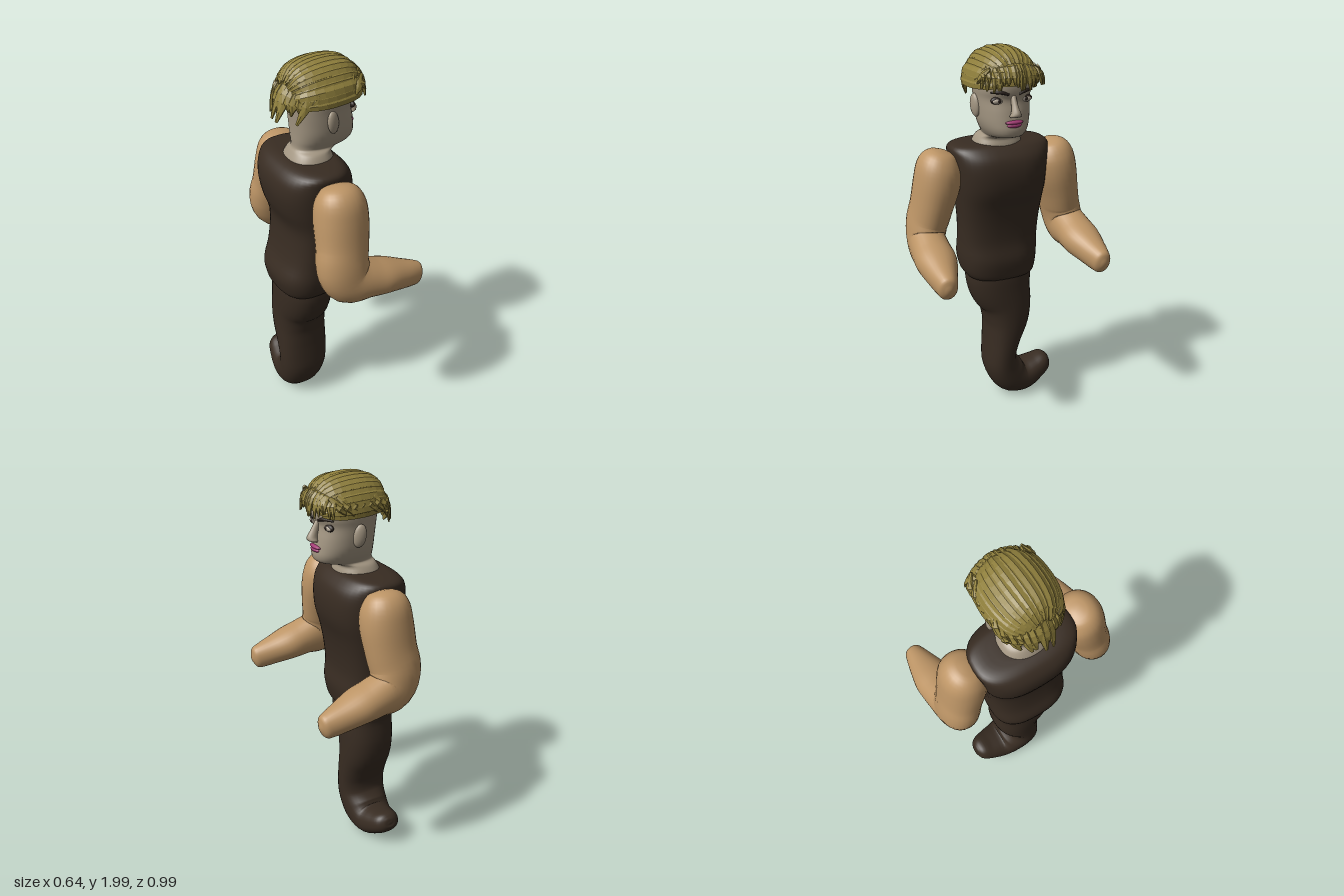
import * as THREE from 'three';

const V = (x, y, z) => new THREE.Vector3(x, y, z);
const mat = (color, flat = false) => new THREE.MeshStandardMaterial({ color, flatShading: flat, roughness: 0.9 });
const CLOTH = mat(0x382c22), TAN = mat(0xbd9566), FACE = mat(0xa39682), HAIR = mat(0x8f7f3c, true);
const LIPS = mat(0xa03a72), DARK = mat(0x2a211c), EYE = mat(0xb5aa9a);

// Smooth skin over cross-sections [x, y, z, ru, rv]; rv lies along `side`, ru across it.
// `axis` fixes the direction of travel, `power` squares off the ellipse.
function loft(rows, { side, axis = null, power = 2, n = 28, sub = 4 }) {
  const path = new THREE.CatmullRomCurve3(rows.map(r => V(r[0], r[1], r[2])), false, 'catmullrom', 0.5);
  const size = new THREE.CatmullRomCurve3(rows.map(r => V(r[3], r[4], 0)), false, 'catmullrom', 0.5);
  const steps = (rows.length - 1) * sub, pos = [], idx = [];
  const bend = c => Math.sign(c) * Math.pow(Math.abs(c), 2 / power);
  for (let s = 0; s <= steps; s++) {
    const c = path.getPoint(s / steps), r = size.getPoint(s / steps);
    const t = axis || path.getTangent(s / steps);
    const v = side.clone().addScaledVector(t, -side.dot(t)).normalize();
    const u = v.clone().cross(t);
    for (let i = 0; i < n; i++) {
      const a = i / n * Math.PI * 2;
      const p = c.clone().addScaledVector(u, bend(Math.cos(a)) * r.x).addScaledVector(v, bend(Math.sin(a)) * r.y);
      pos.push(p.x, p.y, p.z);
    }
  }
  for (let s = 0; s < steps; s++) for (let i = 0; i < n; i++) {
    const a = s * n + i, b = s * n + (i + 1) % n;
    idx.push(a, b, a + n, b, b + n, a + n);
  }
  // end caps
  for (const [row, first] of [[rows[0], true], [rows[rows.length - 1], false]]) {
    const k = pos.length / 3, o = first ? 0 : steps * n;
    pos.push(row[0], row[1], row[2]);
    for (let i = 0; i < n; i++) {
      const a = o + i, b = o + (i + 1) % n;
      idx.push(k, first ? b : a, first ? a : b);
    }
  }
  const g = new THREE.BufferGeometry();
  g.setAttribute('position', new THREE.Float32BufferAttribute(pos, 3));
  g.setIndex(idx);
  g.computeVertexNormals();
  return g;
}

function add(parent, name, geometry, material) {
  const m = new THREE.Mesh(geometry, material);
  m.name = name;
  parent.add(m);
  return m;
}

function ball(parent, name, material, p, s) {
  const m = add(parent, name, new THREE.SphereGeometry(1, 20, 14), material);
  m.position.set(...p);
  m.scale.set(...s);
  return m;
}

const X = V(1, 0, 0), Y = V(0, 1, 0), Z = V(0, 0, 1);

function buildHead() {
  const head = new THREE.Group();
  head.name = 'head';
  // neck, jaw and skull: y, centre x, half depth, half width
  const skull = [
    [1.49, -0.115, 0.12, 0.135], [1.53, -0.112, 0.108, 0.122], [1.56, -0.105, 0.098, 0.105],
    [1.575, -0.075, 0.118, 0.085], [1.59, -0.045, 0.145, 0.092], [1.62, -0.038, 0.153, 0.108],
    [1.66, -0.04, 0.152, 0.12], [1.71, -0.045, 0.15, 0.126], [1.765, -0.052, 0.148, 0.13],
    [1.81, -0.047, 0.156, 0.135], [1.87, -0.047, 0.15, 0.133], [1.93, -0.05, 0.11, 0.105], [1.96, -0.05, 0.05, 0.05],
  ].map(([y, x, rx, rz]) => [x, y, 0, rx, rz]);
  add(head, 'skullAndNeck', loft(skull, { side: Z, axis: Y, power: 2.3, n: 36 }), FACE);
  // nose
  add(head, 'nose', loft([[0.092, 1.79, 0, 0.012, 0.012], [0.108, 1.75, 0, 0.02, 0.015],
    [0.124, 1.715, 0, 0.026, 0.022], [0.122, 1.697, 0, 0.024, 0.03], [0.11, 1.688, 0, 0.01, 0.02]],
  { side: Z, axis: Y.clone().negate(), n: 14 }), FACE);
  // lips
  for (const [name, y, h] of [['upperLip', 1.664, 0.011], ['lowerLip', 1.65, 0.012]])
    ball(head, name, LIPS, [0.106, y, 0], [0.018, h, name === 'upperLip' ? 0.046 : 0.038]);
  for (const s of [-1, 1]) {
    // eye, iris, lid line and brow
    ball(head, 'eyeRim', DARK, [0.073, 1.767, s * 0.07], [0.015, 0.019, 0.036]);
    ball(head, 'eye', EYE, [0.078, 1.765, s * 0.07], [0.013, 0.014, 0.03]);
    ball(head, 'iris', DARK, [0.087, 1.766, s * 0.068], [0.006, 0.01, 0.01]);
    add(head, 'brow', loft([[0.104, 1.796, s * 0.026, 0.006, 0.006], [0.096, 1.808, s * 0.065, 0.009, 0.009],
      [0.07, 1.804, s * 0.105, 0.004, 0.004]], { side: Y, n: 8 }), DARK);
    // ear
    const ear = ball(head, 'ear', FACE, [-0.055, 1.725, s * 0.133], [0.032, 0.056, 0.018]);
    ear.rotation.set(0, s * 0.3, 0.15);
  }
  return head;
}

function buildHair() {
  const hair = new THREE.Group();
  hair.name = 'hair';
  let seed = 7;
  const rnd = () => (seed = (seed * 16807) % 2147483647) / 2147483647;
  // point on the hair dome: t runs front to back, phi tilts to the side
  const dome = (t, phi, k) => {
    const s = Math.pow(Math.max(Math.sin(t), 0), 0.65), c = Math.cos(t);
    const cx = Math.sign(c) * Math.pow(Math.abs(c), 0.85);
    return [-0.055 + 0.185 * cx * k, 1.835 + 0.15 * s * Math.cos(phi) * k, 0.005 + 0.158 * s * Math.sin(phi) * k];
  };
  const lock = (name, pts, w, h) => {
    const prof = pts.map((p, i) => {
      const f = Math.pow(Math.sin(Math.PI * (0.08 + 0.88 * i / (pts.length - 1))), 0.6);
      return [...p, h * f, w * f];
    });
    const mid = pts[Math.floor(pts.length / 2)];
    const side = V(0, -mid[2], mid[1] - 1.8).normalize();
    add(hair, name, loft(prof, { side, n: 6, sub: 2 }), HAIR);
  };
  // scalp cover under the locks
  const cap = add(hair, 'hairCap', new THREE.SphereGeometry(1, 24, 10, 0, Math.PI * 2, 0, Math.PI / 2), HAIR);
  cap.material = HAIR.clone();
  cap.material.side = THREE.DoubleSide;
  cap.position.set(-0.055, 1.835, 0.005);
  cap.scale.set(0.175, 0.145, 0.153);
  // long locks swept over the crown
  for (let i = 0; i < 19; i++) {
    const phi = (i / 18 - 0.5) * 3.1, k = 0.96 + rnd() * 0.06;
    const t0 = 0.22 + rnd() * 0.2, t1 = 2.75 + rnd() * 0.2, pts = [];
    for (let j = 0; j <= 6; j++) pts.push(dome(t0 + (t1 - t0) * j / 6, phi + (j / 6 - 0.5) * 0.15, k));
    lock('crownLock', pts, 0.024 + rnd() * 0.008, 0.014);
  }
  // fringe over the brow
  for (let i = 0; i < 17; i++) {
    const z = (i / 16 - 0.5) * 0.29 + (rnd() - 0.5) * 0.015, x = 0.135 - 2.6 * z * z, d = rnd() * 0.035;
    lock('fringeLock', [[x - 0.07, 1.945 - 2 * z * z, z * 0.8], [x - 0.015, 1.925 - 1.6 * z * z, z * 0.93],
      [x + 0.012, 1.88, z], [x + 0.02 - d * 0.3, 1.815 + d, z * 1.08]], 0.018, 0.011);
  }
  // side and nape locks pointing back and down
  for (let i = 0; i < 13; i++) {
    const f = i / 6 - 1, z = f * 0.13, x = -0.215 + 0.07 * f * f, d = rnd() * 0.05;
    lock('napeLock', [[x + 0.06, 1.93 - 0.05 * f * f, z * 0.9], [x - 0.01, 1.89 - 0.02 * f * f, z],
      [x - 0.05, 1.83, z * 1.05], [x - 0.085 + d, 1.745 + d, z * 0.85]], 0.026, 0.014);
  }
  for (const s of [-1, 1]) for (let i = 0; i < 6; i++) {
    const x = 0.06 - i * 0.04;
    lock('sideLock', [[x + 0.04, 1.92, s * 0.12], [x, 1.875, s * 0.152], [x - 0.04, 1.82 + rnd() * 0.02, s * 0.148]], 0.022, 0.011);
  }
  return hair;
}

export function createModel() {
  const model = new THREE.Group();
  model.name = 'figure';

  // sleeveless top: y, centre x, half depth, centre z, half width
  const torso = [
    [0.79, -0.145, 0.12, -0.02, 0.15], [0.8, -0.148, 0.148, -0.02, 0.18], [0.84, -0.15, 0.162, -0.015, 0.198],
    [0.91, -0.15, 0.17, -0.012, 0.207], [1.0, -0.14, 0.15, -0.012, 0.208], [1.1, -0.128, 0.145, -0.012, 0.212],
    [1.2, -0.118, 0.153, -0.012, 0.222], [1.3, -0.12, 0.183, -0.012, 0.235], [1.39, -0.125, 0.194, -0.012, 0.245],
    [1.46, -0.128, 0.183, -0.013, 0.253], [1.505, -0.13, 0.15, -0.014, 0.255],
    [1.525, -0.125, 0.115, -0.014, 0.215], [1.53, -0.12, 0.08, -0.01, 0.12],
  ].map(([y, x, rx, z, rz]) => [x, y, z, rx, rz]);
  add(model, 'torso', loft(torso, { side: Z, axis: Y, power: 2.7, n: 40 }), CLOTH);

  // lower body curling into a tail
  const tail = [
    [0.85, -0.02, 0.17, 0.135], [0.78, -0.022, 0.178, 0.14], [0.7, -0.032, 0.168, 0.14], [0.6, -0.06, 0.142, 0.139],
    [0.5, -0.062, 0.124, 0.138], [0.4, -0.042, 0.1, 0.137], [0.3, -0.026, 0.086, 0.135], [0.21, -0.033, 0.092, 0.13],
    [0.13, -0.085, 0.104, 0.122], [0.1, -0.16, 0.088, 0.11], [0.125, -0.24, 0.07, 0.092],
    [0.157, -0.3, 0.054, 0.07], [0.168, -0.325, 0.032, 0.04], [0.17, -0.331, 0.008, 0.01],
  ].map(([y, z, ru, rv]) => [-0.15, y, z, ru, rv]);
  add(model, 'tail', loft(tail, { side: X, power: 2.3, n: 32 }), CLOTH);

  // bent arms with rounded stumps
  const arm = [
    [-0.125, 1.502, 0.28, 0.02, 0.02], [-0.125, 1.485, 0.285, 0.08, 0.07], [-0.125, 1.43, 0.3, 0.118, 0.108],
    [-0.125, 1.34, 0.315, 0.132, 0.115], [-0.135, 1.22, 0.345, 0.13, 0.104], [-0.148, 1.12, 0.37, 0.13, 0.1],
    [-0.115, 1.04, 0.383, 0.125, 0.095], [-0.02, 1.015, 0.39, 0.098, 0.098], [0.07, 0.995, 0.393, 0.086, 0.1],
    [0.16, 0.97, 0.4, 0.075, 0.078], [0.235, 0.95, 0.405, 0.066, 0.056], [0.268, 0.943, 0.407, 0.055, 0.042],
    [0.285, 0.94, 0.408, 0.015, 0.012],
  ];
  for (const s of [1, -1]) {
    const rows = arm.map(([x, y, z, ru, rv]) => [x + (s < 0 ? 0.03 : 0), y, z * s, ru, rv]);
    add(model, s > 0 ? 'armAtPlusZ' : 'armAtMinusZ', loft(rows, { side: Z, power: 2.1, n: 28 }), TAN);
  }

  model.add(buildHead(), buildHair());
  return model;
}
